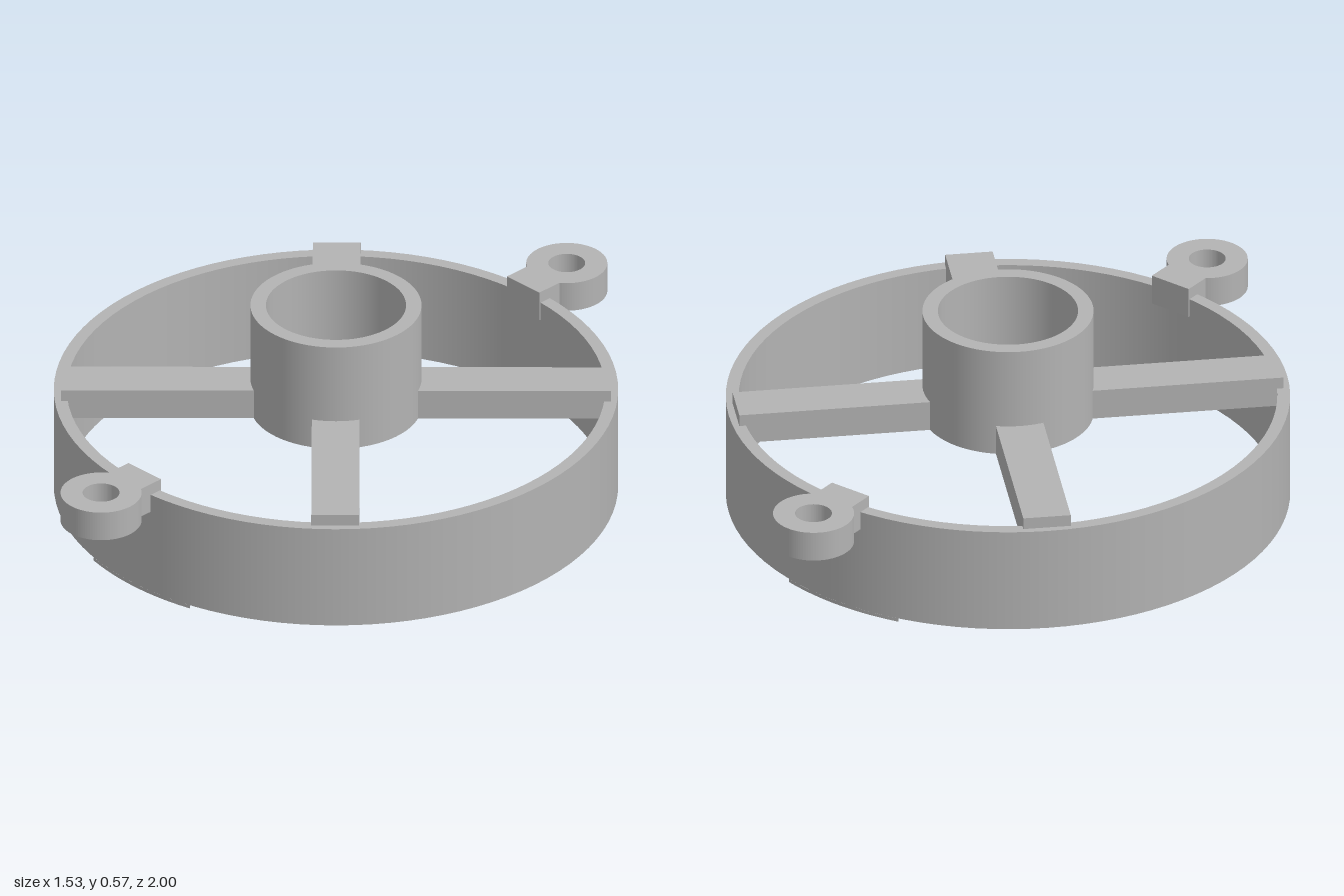
import * as THREE from 'three';
import { mergeGeometries } from 'three/addons/utils/BufferGeometryUtils.js';

const TOP = 0.343;      // top of spokes and lugs
const BOTTOM = 0.257;   // underside of spokes, lugs and hub

// Closed [radius, y] profile revolved edge by edge, keeping corners sharp
function revolve(profile, segments = 96) {
  return mergeGeometries(profile.map((p, i) => {
    const q = profile[(i + 1) % profile.length];
    return new THREE.LatheGeometry(
      [new THREE.Vector2(...p), new THREE.Vector2(...q)], segments);
  }));
}

// Plan shape (x, z) extruded downwards from the given top height
function slab(shape, top, depth) {
  const geometry = new THREE.ExtrudeGeometry(shape, { depth, bevelEnabled: false, curveSegments: 40 });
  return geometry.rotateX(Math.PI / 2).translate(0, top, 0);
}

export function createModel() {
  const model = new THREE.Group();
  const grey = new THREE.MeshStandardMaterial({ color: 0xb3b3b3 });
  grey.name = 'grey';

  const add = (name, geometry) => {
    const mesh = new THREE.Mesh(geometry, grey);
    mesh.name = name;
    model.add(mesh);
    return mesh;
  };

  // Outer rim
  add('rim', revolve([[0.765, 0.01], [0.765, 0.31], [0.73, 0.31], [0.73, 0.01]]));

  // Central cup with a floor and a bore
  add('hub', revolve([
    [0.232, BOTTOM], [0.232, 0.573], [0.19, 0.573],
    [0.19, TOP], [0.067, TOP], [0.067, BOTTOM],
  ]));

  // Four diagonal spokes resting in the rim
  const spoke = new THREE.BoxGeometry(0.53, TOP - BOTTOM, 0.13)
    .translate(0.48, (TOP + BOTTOM) / 2, 0);
  for (let i = 0; i < 4; i++) {
    add('spoke', spoke).rotation.y = Math.PI / 4 + i * Math.PI / 2;
  }

  // Mounting lug: neck and round eye with a screw hole
  const neck = 0.0625, eyeZ = 0.89, eyeR = 0.11;
  const start = -Math.acos(neck / eyeR);
  const lugShape = new THREE.Shape();
  lugShape.moveTo(-neck, 0.723);
  lugShape.lineTo(neck, 0.723);
  lugShape.absarc(0, eyeZ, eyeR, start, Math.PI - start, false);
  lugShape.closePath();
  lugShape.holes.push(new THREE.Path().absarc(0, eyeZ, 0.05, 0, Math.PI * 2, true));
  const lug = slab(lugShape, TOP, TOP - BOTTOM);

  // Shallow foot: circular segment under the rim
  const half = Math.asin(0.185 / 0.765);
  const footShape = new THREE.Shape();
  footShape.absarc(0, 0, 0.765, Math.PI / 2 - half, Math.PI / 2 + half, false);
  footShape.closePath();
  const foot = slab(footShape, 0.01, 0.01);

  // One lug and one foot at the front and at the back
  for (const [side, turn] of [['front', 0], ['back', Math.PI]]) {
    const lugMesh = add(side + 'Lug', lug);
    lugMesh.rotation.y = turn;
    lugMesh.position.x = -0.008;
    add(side + 'Foot', foot).rotation.y = turn;
  }

  return model;
}
